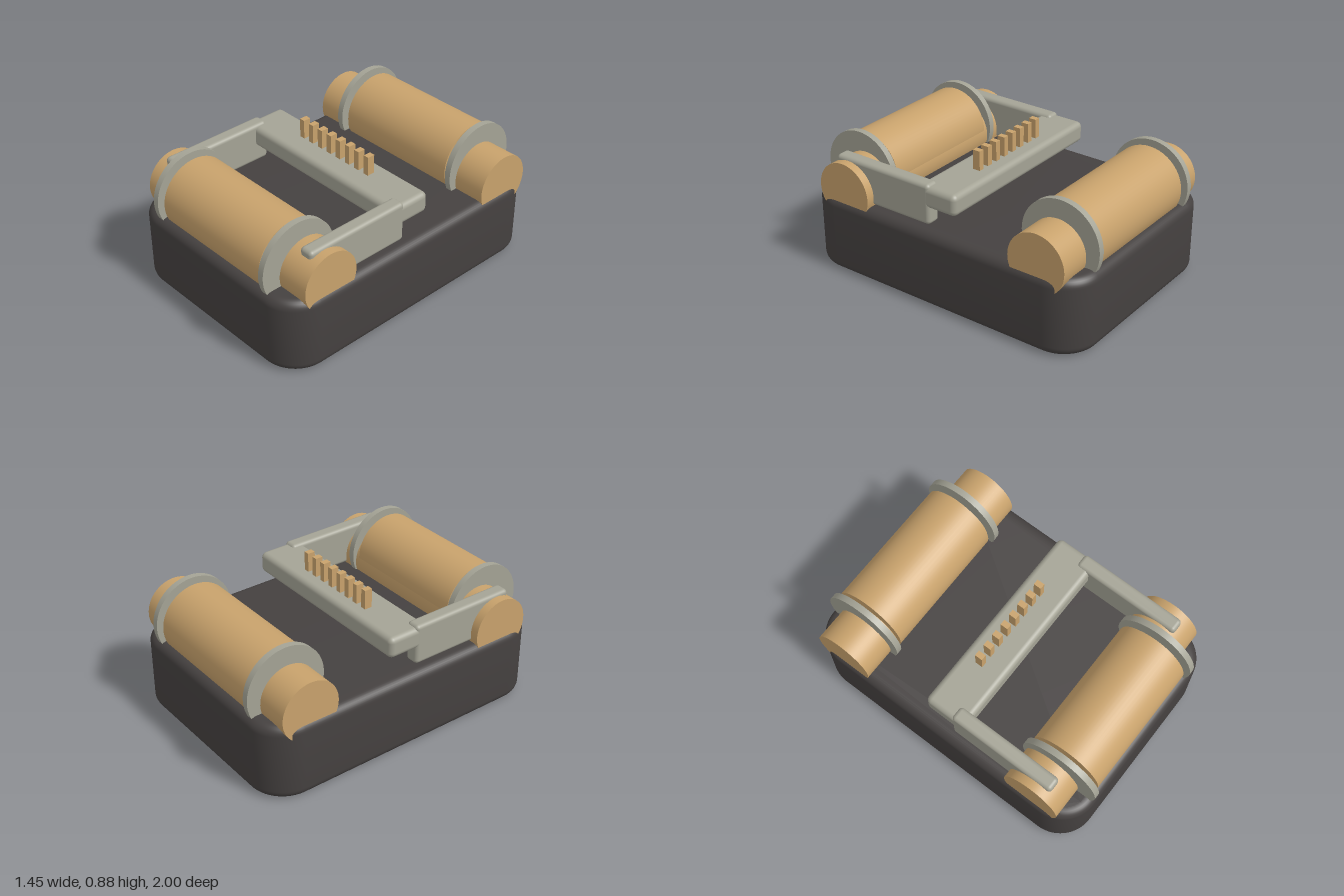
import * as THREE from 'three';
import { toCreasedNormals } from 'three/addons/utils/BufferGeometryUtils.js';
import { RoundedBoxGeometry } from 'three/addons/geometries/RoundedBoxGeometry.js';

const material = (name, color) => new THREE.MeshStandardMaterial({ name, color });

// Slab with rounded plan corners and a rolled top and bottom edge, standing on y = 0
function roundedSlab(width, height, depth, corner, roll) {
  const x = width / 2 - roll, y = depth / 2 - roll, r = corner - roll;
  const shape = new THREE.Shape();
  shape.absarc(x - r, y - r, r, 0, Math.PI / 2);
  shape.absarc(-x + r, y - r, r, Math.PI / 2, Math.PI);
  shape.absarc(-x + r, -y + r, r, Math.PI, Math.PI * 1.5);
  shape.absarc(x - r, -y + r, r, Math.PI * 1.5, Math.PI * 2);
  const geo = new THREE.ExtrudeGeometry(shape, {
    depth: height - 2 * roll, bevelThickness: roll, bevelSize: roll,
    bevelSegments: 8, curveSegments: 12,
  });
  geo.rotateX(-Math.PI / 2).translate(0, roll, 0);
  return toCreasedNormals(geo, 0.6);
}

export function createModel() {
  const model = new THREE.Group();
  model.name = 'rollerDevice';
  const dark = material('charcoal', 0x454140);
  const tan = material('tan', 0xc8a26c);
  const grey = material('warmGrey', 0xa4a395);

  const add = (parent, name, geo, mat, x, y, z) => {
    const mesh = new THREE.Mesh(geo, mat);
    mesh.name = name;
    mesh.position.set(x, y, z);
    parent.add(mesh);
  };
  // Cylinder lying along x
  const barrel = (r, length) =>
    new THREE.CylinderGeometry(r, r, length, 64).rotateZ(Math.PI / 2);

  add(model, 'base', roundedSlab(1.45, 0.5, 2, 0.23, 0.06), dark, 0, 0, 0);

  // Front and back rollers: core, thicker drum and two flanges
  for (const [name, coreZ, drumZ] of [['frontRoller', 0.69, 0.738], ['backRoller', -0.723, -0.738]]) {
    const roller = new THREE.Group();
    roller.name = name;
    add(roller, 'core', barrel(0.19, 1.42), tan, 0, 0.556, coreZ);
    add(roller, 'drum', barrel(0.234, 0.86), tan, 0, 0.602, drumZ);
    for (const side of [-1, 1])
      add(roller, 'flange', barrel(0.261, 0.04), grey, side * 0.478, 0.605, drumZ);
    model.add(roller);
  }

  // Crossbar carried by two side arms
  add(model, 'crossbar', new RoundedBoxGeometry(1.31, 0.137, 0.285, 4, 0.035), grey, 0, 0.682, 0.022);
  for (const side of [-1, 1])
    add(model, side > 0 ? 'leftArm' : 'rightArm',
      new RoundedBoxGeometry(0.095, 0.26, 0.715, 4, 0.025), grey, side * 0.608, 0.635, 0.43);

  // Row of pins along the crossbar
  const pin = new THREE.BoxGeometry(0.037, 0.145, 0.05);
  for (let i = 0; i < 8; i++)
    add(model, 'pin', pin, tan, (i - 3.5) * 0.0803, 0.803, -0.002);

  return model;
}
